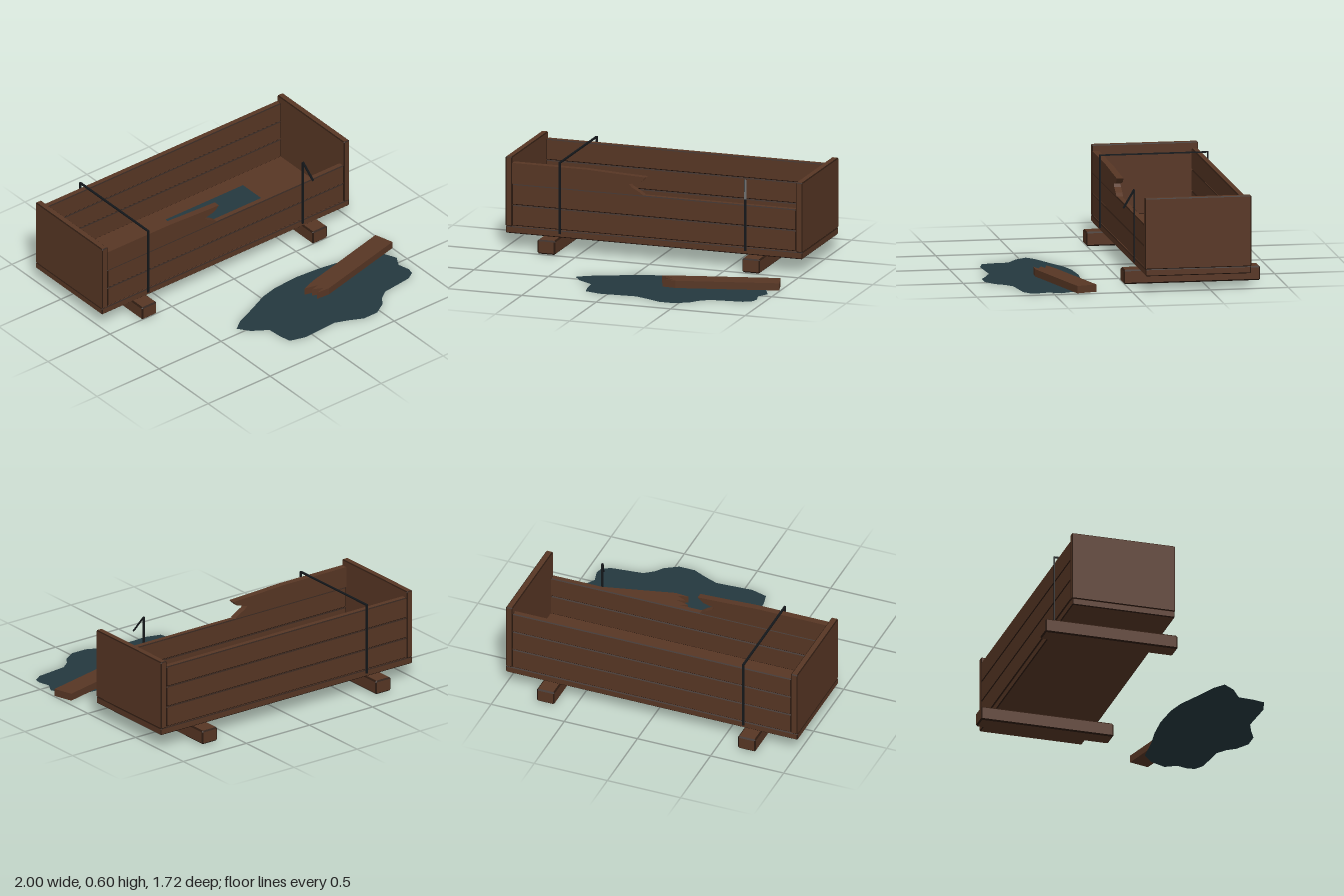
import * as THREE from 'three';
import { ConvexGeometry } from 'three/addons/geometries/ConvexGeometry.js';

const wood = new THREE.MeshStandardMaterial({ color: 0x573624 });
wood.name = 'wood';
const woodEdge = new THREE.MeshStandardMaterial({ color: 0x2c1a10 });
woodEdge.name = 'dark wood edge';
const water = new THREE.MeshStandardMaterial({ color: 0x24383f, side: THREE.DoubleSide });
water.name = 'water';
const iron = new THREE.MeshStandardMaterial({ color: 0x14171a });
iron.name = 'black iron';

// Board between two corners, with narrow dark chamfers around flat faces
function board(name, min, max, bevel = 0.006) {
  const half = min.map((v, i) => (max[i] - v) / 2);
  const points = [];
  for (const sx of [-1, 1]) for (const sy of [-1, 1]) for (const sz of [-1, 1]) {
    for (let axis = 0; axis < 3; axis++) {
      const c = [sx, sy, sz].map((s, i) => s * (half[i] - (i === axis ? 0 : bevel)));
      points.push(new THREE.Vector3(...c));
    }
  }
  const geo = new ConvexGeometry(points);
  const normal = geo.attributes.normal;
  for (let i = 0; i < normal.count; i += 3) {
    const n = [normal.getX(i), normal.getY(i), normal.getZ(i)].map(Math.abs);
    geo.addGroup(i, 3, Math.max(...n) > 0.99 ? 0 : 1);
  }
  const mesh = new THREE.Mesh(geo, [wood, woodEdge]);
  mesh.position.set(...min.map((v, i) => (v + max[i]) / 2));
  mesh.name = name;
  return mesh;
}

const outline = (points) => new THREE.Shape(points.map(([x, y]) => new THREE.Vector2(x, y)));

// Flat iron bar between two points
function strap(name, a, b, width = 0.014, thick = 0.008) {
  const from = new THREE.Vector3(...a), to = new THREE.Vector3(...b);
  const mesh = new THREE.Mesh(new THREE.BoxGeometry(width, thick, from.distanceTo(to)), iron);
  mesh.position.copy(from).lerp(to, 0.5);
  mesh.lookAt(to);
  mesh.name = name;
  return mesh;
}

export function createModel() {
  const model = new THREE.Group();
  model.name = 'brokenTrough';

  // Runners under the box
  for (const x of [-0.69, 0.685]) {
    model.add(board('runner', [x - 0.06, 0.008, -0.865], [x + 0.06, 0.1, 0.012], 0.009));
  }

  // Floor and end boards
  model.add(board('floor', [-0.997, 0.1, -0.762], [0.997, 0.146, -0.085]));
  for (const s of [-1, 1]) {
    const inner = s * 0.952, outer = s * 0.997;
    model.add(board('endBoard', [Math.min(inner, outer), 0.144, -0.765],
      [Math.max(inner, outer), 0.6, -0.082]));
  }

  // Side planks; the upper front one is broken
  for (let row = 0; row < 3; row++) {
    const y = 0.15 + row * 0.137;
    model.add(board('backPlank', [-0.953, y, -0.765], [0.953, y + 0.136, -0.722]));
    if (row < 2) model.add(board('frontPlank', [-0.953, y, -0.128], [0.953, y + 0.136, -0.085]));
  }
  const broken = new THREE.ExtrudeGeometry(outline([
    [-0.953, 0.424], [-0.07, 0.424], [-0.1, 0.445], [-0.15, 0.472], [-0.168, 0.49],
    [-0.09, 0.51], [-0.055, 0.543], [-0.24, 0.55], [-0.45, 0.56], [-0.953, 0.56],
  ]), { depth: 0.043, bevelEnabled: false });
  const brokenPlank = new THREE.Mesh(broken, wood);
  brokenPlank.position.z = -0.128;
  brokenPlank.name = 'brokenFrontPlank';
  model.add(brokenPlank);

  // Complete iron strap on one side, snapped one on the other
  const x = -0.63;
  model.add(
    strap('strapFront', [x, 0.125, -0.078], [x, 0.595, -0.078]),
    strap('strapTop', [x, 0.591, -0.774], [x, 0.591, -0.074]),
    strap('strapBack', [x, 0.125, -0.77], [x, 0.595, -0.77]),
    strap('snappedStrap', [0.617, 0.125, -0.078], [0.617, 0.592, -0.078]),
    strap('snappedStrapEnd', [0.617, 0.592, -0.078], [0.642, 0.48, -0.005]),
  );

  // Water left on the floor of the box
  const pool = new THREE.Mesh(new THREE.PlaneGeometry(0.625, 0.38), water);
  pool.rotation.x = -Math.PI / 2;
  pool.position.set(0.25, 0.152, -0.43);
  pool.name = 'waterInside';
  model.add(pool);

  // Spilled puddle, outlined as x, z
  const puddleShape = outline([
    [-0.335, 0.45], [-0.27, 0.4], [-0.12, 0.335], [0.02, 0.27], [0.14, 0.24], [0.325, 0.228],
    [0.485, 0.24], [0.645, 0.265], [0.83, 0.28], [0.91, 0.35], [0.955, 0.45], [0.915, 0.52],
    [0.935, 0.6], [0.925, 0.645], [0.87, 0.68], [0.66, 0.705], [0.6, 0.75], [0.56, 0.805],
    [0.475, 0.858], [0.37, 0.858], [0.28, 0.815], [0.19, 0.78], [-0.05, 0.795], [-0.155, 0.765],
    [-0.172, 0.69], [-0.18, 0.59], [-0.28, 0.525],
  ].map(([px, pz]) => [px, -pz]));
  const puddle = new THREE.Mesh(new THREE.ShapeGeometry(puddleShape), water);
  puddle.rotation.x = -Math.PI / 2;
  puddle.position.y = 0.002;
  puddle.name = 'puddle';
  model.add(puddle);

  // Splintered piece of plank lying in the puddle
  const piece = new THREE.ExtrudeGeometry(outline([
    [0.962, 0.225], [0.998, 0.353], [0.36, 0.513], [0.268, 0.507], [0.335, 0.488],
    [0.268, 0.458], [0.325, 0.443], [0.235, 0.42], [0.33, 0.385],
  ].map(([px, pz]) => [px, -pz])), { depth: 0.047, bevelEnabled: false });
  const fallen = new THREE.Mesh(piece, wood);
  fallen.rotation.x = -Math.PI / 2;
  fallen.position.y = 0.006;
  fallen.name = 'fallenPlankPiece';
  model.add(fallen);

  return model;
}
